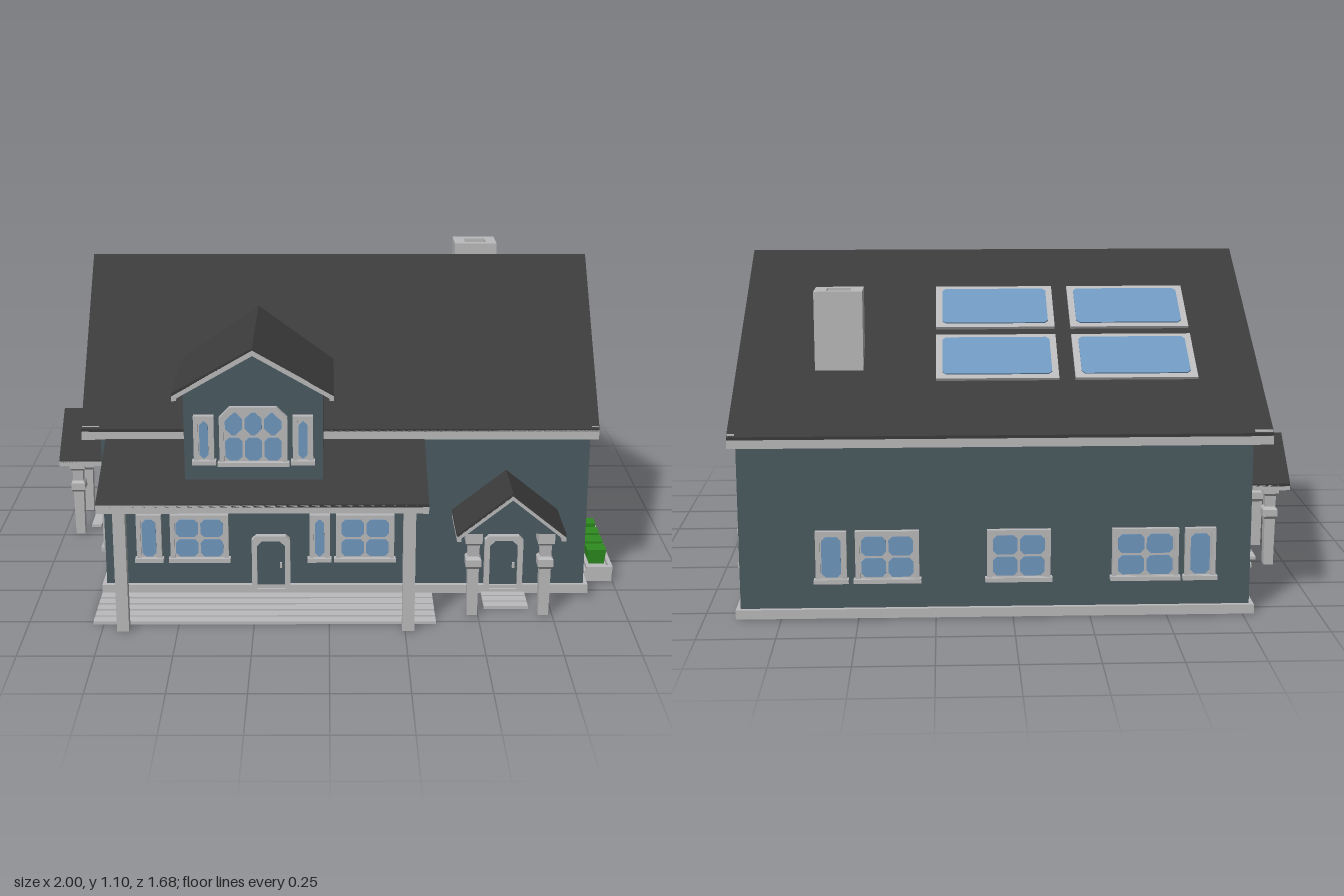
import * as THREE from 'three';

const mat = (name, color) => Object.assign(new THREE.MeshStandardMaterial({ color }), { name });

export function createModel() {
  const slate = mat('slate siding', 0x4a5a60);
  const dark = mat('dark roofing', 0x3b3b3b);
  const trim = mat('pale trim', 0xbababc);
  const glass = mat('blue glass', 0x7098c0);
  const green = mat('plant green', 0x2f8c1f);
  const house = new THREE.Group();
  house.name = 'house';

  const add = (parent, name, geo, material) => {
    const m = new THREE.Mesh(geo, material);
    m.name = name;
    parent.add(m);
    return m;
  };
  // box given by its limits
  const box = (parent, name, material, x0, x1, y0, y1, z0, z1) =>
    add(parent, name, new THREE.BoxGeometry(x1 - x0, y1 - y0, z1 - z0)
      .translate((x0 + x1) / 2, (y0 + y1) / 2, (z0 + z1) / 2), material);
  // outline in x, y pushed along z, with an optional hole
  const prism = (pts, z0, z1, hole) => {
    const shape = new THREE.Shape(pts.map(p => new THREE.Vector2(...p)));
    if (hole) shape.holes.push(new THREE.Path(hole.map(p => new THREE.Vector2(...p))));
    return new THREE.ExtrudeGeometry(shape, { depth: z1 - z0, bevelEnabled: false }).translate(0, 0, z0);
  };
  // outline in z, y pushed along x
  const sidePrism = (pts, x0, x1) =>
    prism(pts.map(([z, y]) => [-z, y]), x0, x1).rotateY(Math.PI / 2);
  const rect = (x0, x1, y0, y1) => [[x0, y0], [x1, y0], [x1, y1], [x0, y1]];
  // rectangle with cut corners, top only or all four
  const cut = (x0, x1, y0, y1, c, all) => [
    ...(all ? [[x0, y0 + c], [x0 + c, y0], [x1 - c, y0], [x1, y0 + c]] : [[x0, y0], [x1, y0]]),
    [x1, y1 - c], [x1 - c, y1], [x0 + c, y1], [x0, y1 - c]];
  const groupAt = (parent, name, x, y, z, ry = 0) => {
    const g = new THREE.Group();
    g.name = name;
    g.position.set(x, y, z);
    g.rotation.y = ry;
    parent.add(g);
    return g;
  };

  // pitched roof with its ridge along z: skin, rake boards and eave boards
  function gableRoof(parent, [l, p, r], z0, z1, t, ends) {
    const chevron = (a, b) => [l, p, r].map(([x, y]) => [x, y - a])
      .concat([r, p, l].map(([x, y]) => [x, y - b]));
    add(parent, 'roofSkin', prism(chevron(0, 0.01), z0, z1), dark);
    ends.forEach(([a, b]) => add(parent, 'rakeBoard', prism(chevron(0.008, t), a, b), trim));
    box(parent, 'eaveBoard', trim, l[0], l[0] + 0.015, l[1] - t, l[1] - 0.005, z0, z1);
    box(parent, 'eaveBoard', trim, r[0] - 0.015, r[0], r[1] - t, r[1] - 0.005, z0, z1);
  }

  // window facing +z, centred on its group
  function makeWindow(parent, x, y, z, ry, w, h, cols, rows, arch = 0) {
    const g = groupAt(parent, 'window', x, y, z, ry), b = 0.015, a = w / 2, k = h / 2;
    const outline = (i) => arch ? cut(-a + i, a - i, -k + i, k - i, arch) : rect(-a + i, a - i, -k + i, k - i);
    add(g, 'windowFrame', prism(outline(0), -0.012, 0.018, outline(b)), trim);
    add(g, 'windowBars', prism(outline(b), 0.001, 0.01), trim);
    box(g, 'windowSill', trim, -a - 0.006, a + 0.006, -k, -k + 0.014, 0, 0.026);
    const pw = (w - 2 * b) / cols, ph = (h - 2 * b) / rows, m = 0.004;
    for (let i = 0; i < cols; i++) for (let j = 0; j < rows; j++) {
      const px = -a + b + i * pw, py = -k + b + j * ph;
      const c = arch && j === rows - 1 ? Math.min(pw, ph) * 0.35 : 0.013;
      add(g, 'windowPane', prism(cut(px + m, px + pw - m, py + m, py + ph - m, c, true), 0.01, 0.014), glass);
    }
  }

  // door facing +z, standing on its group origin
  function makeDoor(parent, x, z, ry) {
    const g = groupAt(parent, 'door', x, 0.02, z, ry);
    add(g, 'doorFrame', prism(cut(-0.066, 0.066, 0, 0.2, 0.015), -0.012, 0.022, cut(-0.048, 0.048, 0.004, 0.182, 0.018)), trim);
    add(g, 'doorPanel', prism(cut(-0.048, 0.048, 0, 0.182, 0.018), 0.001, 0.01), slate);
    box(g, 'doorHandle', trim, 0.03, 0.038, 0.08, 0.1, 0.01, 0.018);
  }

  // small gabled porch facing +z, wall at z = 0
  function entryPorch(x, z, ry) {
    const g = groupAt(house, 'entryPorch', x, 0, z, ry);
    gableRoof(g, [[-0.18, 0.31], [0, 0.455], [0.18, 0.31]], 0, 0.225, 0.024, [[0.205, 0.225]]);
    add(g, 'porchGable', prism([[-0.15, 0.3], [0.15, 0.3], [0, 0.435]], 0.175, 0.19), slate);
    const profile = [[0.017, 0], [0.019, 0.17], [0.026, 0.18], [0.026, 0.205], [0.018, 0.215],
      [0.02, 0.255], [0.028, 0.265], [0.028, 0.3]].map(([r, y]) => new THREE.Vector2(r * Math.SQRT2, y));
    const column = new THREE.LatheGeometry(profile, 4, Math.PI / 4).toNonIndexed();
    column.computeVertexNormals();
    for (const s of [-1, 1]) add(g, 'porchColumn', column, trim).position.set(s * 0.12, 0, 0.165);
    for (let i = 0; i < 3; i++) box(g, 'stepPlank', trim, -0.075, 0.075, 0, 0.01, 0.005 + i * 0.045, 0.042 + i * 0.045);
    makeDoor(g, 0, 0, 0);
  }

  // hollow shell of walls with a plinth ring
  const gable = [[0.52, 0.005], [0.52, 0.61], [0.07, 1.08], [-0.815, 0.6], [-0.815, 0.005]];
  add(house, 'rightGableWall', sidePrism(gable, 0.87, 0.88), slate);
  add(house, 'leftGableWall', sidePrism(gable, -0.77, -0.76), slate);
  box(house, 'frontWall', slate, -0.77, 0.88, 0.005, 0.61, 0.51, 0.52);
  box(house, 'backWall', slate, -0.77, 0.88, 0.005, 0.6, -0.815, -0.805);
  add(house, 'plinth', prism(rect(-0.785, 0.895, -0.535, 0.83), 0.005, 0.036, rect(-0.765, 0.875, -0.515, 0.81))
    .rotateX(-Math.PI / 2), trim);

  // main roof, ridge along x, and the bands across the gables
  const mainRoof = groupAt(house, 'mainRoof', 0, 0, 0, Math.PI / 2);
  gableRoof(mainRoof, [[-0.545, 0.61], [-0.07, 1.1], [0.84, 0.61]], -0.83, 0.905, 0.038,
    [[-0.83, -0.805], [0.88, 0.905]]);
  box(house, 'gableBand', trim, 0.88, 0.903, 0.58, 0.618, -0.835, 0.54);
  box(house, 'gableBand', trim, -0.828, -0.77, 0.58, 0.618, -0.835, 0.54);

  // lean-to roof of the front porch
  const leanTo = (a, b) => [[0.515, 0.587 - a], [0.84, 0.455 - a], [0.84, 0.455 - b], [0.515, 0.587 - b]];
  add(house, 'porchRoof', sidePrism(leanTo(0, 0.01), -0.75, 0.32), dark);
  for (const x of [-0.75, 0.3]) add(house, 'porchRakeBoard', sidePrism(leanTo(0.008, 0.032), x, x + 0.02), trim);
  box(house, 'porchFascia', trim, -0.75, 0.32, 0.424, 0.452, 0.822, 0.84);
  for (const x of [-0.68, 0.26]) box(house, 'porchPost', trim, x - 0.02, x + 0.02, 0, 0.445, 0.785, 0.822);
  for (let i = 0; i < 5; i++)
    box(house, 'porchPlank', trim, -0.785, 0.355, 0, 0.01, 0.54 + i * 0.048, 0.578 + i * 0.048);

  // dormer sitting across the main roof and the porch roof
  const dormer = groupAt(house, 'dormer', -0.245, 0, 0);
  add(dormer, 'dormerBody', sidePrism([[0.73, 0.498], [0.73, 0.79], [0.36, 0.79], [0.53, 0.58]], -0.225, 0.225), slate);
  add(dormer, 'dormerGable', prism([[-0.225, 0.79], [0.225, 0.79], [0.225, 0.81], [0, 0.94], [-0.225, 0.81]], 0.715, 0.73), slate);
  gableRoof(dormer, [[-0.26, 0.8], [0, 0.95], [0.26, 0.8]], 0.215, 0.75, 0.026, [[0.73, 0.75]]);
  makeWindow(dormer, 0, 0.652, 0.73, 0, 0.22, 0.2, 3, 2, 0.035);
  for (const s of [-1, 1]) makeWindow(dormer, s * 0.16, 0.64, 0.73, 0, 0.066, 0.165, 1, 1);

  // ground-floor windows: [centre along wall, width, panes across]
  const row = (list, place) => list.forEach(([c, w, n]) => {
    const [x, z, ry] = place(c);
    makeWindow(house, x, 0.21, z, ry, w, 0.172, n, n);
  });
  row([[-0.618, 0.086, 1], [-0.445, 0.2, 2], [-0.033, 0.07, 1], [0.123, 0.2, 2]], c => [c, 0.52, 0]);
  row([[-0.605, 0.1, 1], [-0.427, 0.215, 2], [-0.018, 0.205, 2], [0.405, 0.205, 2], [0.585, 0.1, 1]],
    c => [c, -0.815, Math.PI]);
  row([[-0.183, 0.205, 2], [-0.548, 0.205, 2]], c => [0.88, c, Math.PI / 2]);
  row([[-0.665, 0.08, 1], [-0.475, 0.205, 2], [0.24, 0.2, 2], [0.4, 0.08, 1]], c => [-0.77, c, -Math.PI / 2]);
  makeWindow(house, 0.88, 0.75, -0.177, Math.PI / 2, 0.105, 0.16, 1, 1);
  makeWindow(house, -0.77, 0.75, -0.177, -Math.PI / 2, 0.105, 0.16, 1, 1);

  // doors and gabled entries
  makeDoor(house, -0.2, 0.52, 0);
  entryPorch(0.6, 0.52, 0);
  entryPorch(-0.775, -0.15, -Math.PI / 2);

  // four glazed panels on the back slope
  const slope = 0.49 / 0.91, angle = Math.atan(slope);
  for (const x of [-0.418, 0.042]) for (const z of [-0.495, -0.25]) {
    const g = groupAt(house, 'roofPanel', x, 1.1 + slope * (z - 0.07), z);
    g.rotation.x = -angle;
    const w = 0.203, d = 0.104 / Math.cos(angle);
    box(g, 'panelFrame', trim, -w, w, -0.002, 0.01, -d, d);
    add(g, 'panelGlass', prism(cut(-w + 0.022, w - 0.022, -d + 0.02, d - 0.02, 0.012, true), 0.01, 0.014)
      .rotateX(-Math.PI / 2), glass);
  }

  // chimney with an open flue
  add(house, 'chimney', prism(rect(0.485, 0.645, 0.425, 0.548), 0.74, 1.03, rect(0.525, 0.605, 0.455, 0.518))
    .rotateX(-Math.PI / 2), trim);
  box(house, 'flue', slate, 0.52, 0.61, 0.86, 0.98, -0.522, -0.45);

  // planter along the right wall
  box(house, 'planterBox', trim, 0.895, 0.995, 0.005, 0.045, 0.027, 0.437);
  add(house, 'planterRim', prism(rect(0.905, 0.997, -0.437, -0.027), 0.045, 0.06, rect(0.917, 0.983, -0.42, -0.044))
    .rotateX(-Math.PI / 2), trim);
  for (const z of [0.351, 0.274, 0.198, 0.108]) {
    const plant = new THREE.CylinderGeometry(0.048, 0.04, 0.055, 4, 1, false, Math.PI / 4).toNonIndexed();
    plant.computeVertexNormals();
    add(house, 'plant', plant.scale(1, 1, 0.85), green).position.set(0.948, 0.0725, z);
  }
  return house;
}
